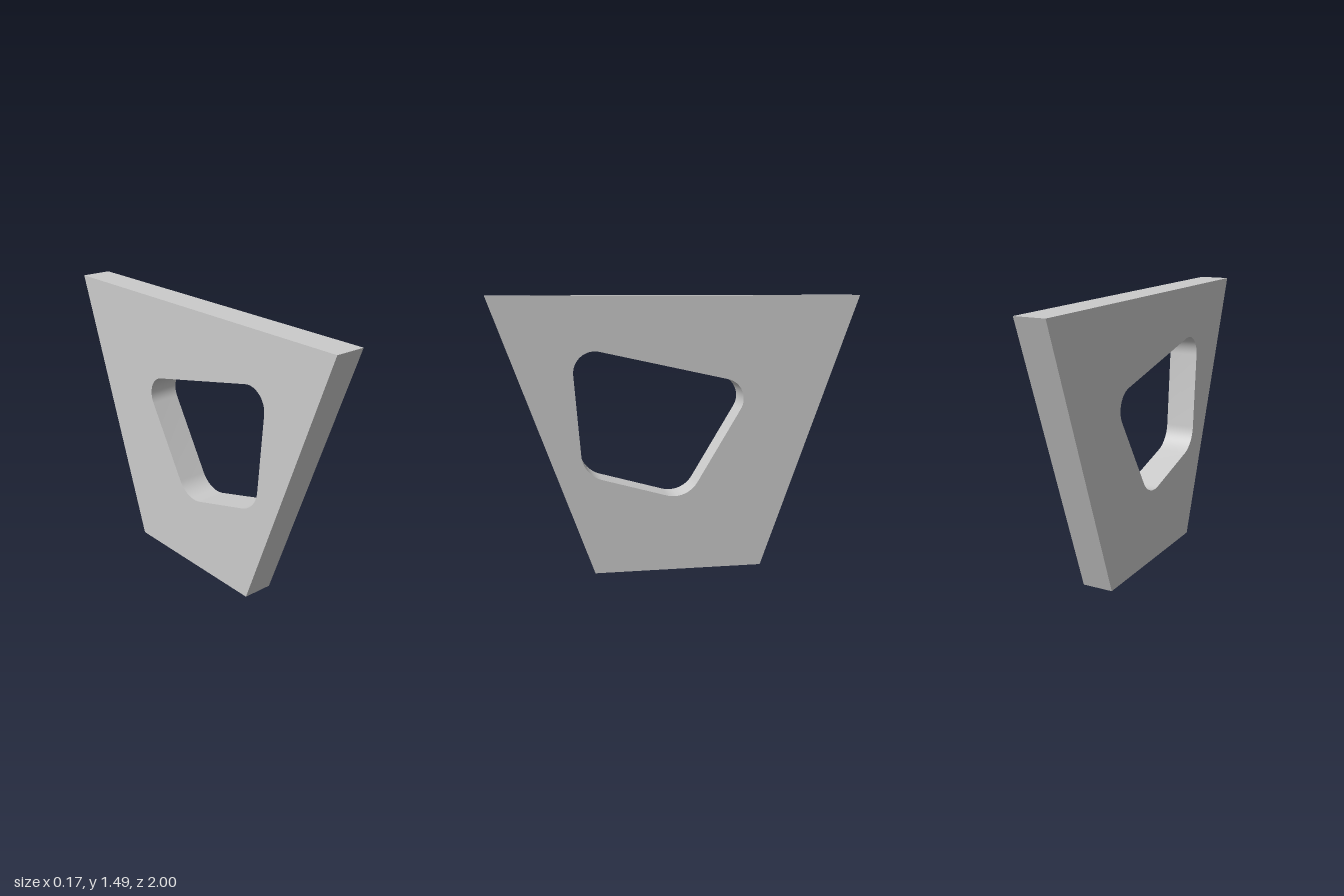
import * as THREE from 'three';
import { toCreasedNormals } from 'three/addons/utils/BufferGeometryUtils.js';

const THICKNESS = 0.17;

// Closed path through the corners, each rounded by an arc that starts
// the given distance before the corner and ends the same distance after it.
function roundedPath(corners) {
  const path = new THREE.Path();
  const n = corners.length;
  const points = corners.map(([x, y]) => new THREE.Vector2(x, y));
  for (let i = 0; i < n; i++) {
    const p = points[i];
    const t = corners[i][2];
    const toPrev = points[(i + n - 1) % n].clone().sub(p).normalize();
    const toNext = points[(i + 1) % n].clone().sub(p).normalize();
    const angle = Math.acos(toPrev.dot(toNext));
    const radius = t * Math.tan(angle / 2);
    const handle = (4 / 3) * Math.tan((Math.PI - angle) / 4) * radius;
    const at = (dir, d) => p.clone().addScaledVector(dir, d);
    const start = at(toPrev, t), c1 = at(toPrev, t - handle);
    const c2 = at(toNext, t - handle), end = at(toNext, t);
    if (i === 0) path.moveTo(start.x, start.y);
    else path.lineTo(start.x, start.y);
    path.bezierCurveTo(c1.x, c1.y, c2.x, c2.y, end.x, end.y);
  }
  path.closePath();
  return path;
}

export function createModel() {
  const group = new THREE.Group();
  group.name = 'taperedPanel';

  // Trapezoid outline, drawn with -z to the right
  const outline = new THREE.Shape([
    new THREE.Vector2(-0.46, 0),
    new THREE.Vector2(0.46, 0),
    new THREE.Vector2(1, 1.49),
    new THREE.Vector2(-1, 1.49),
  ]);

  // Skewed four-sided window with rounded corners: x, y, rounding length
  outline.holes.push(roundedPath([
    [-0.572, 1.234, 0.155],
    [0.419, 1.011, 0.153],
    [0.043, 0.386, 0.115],
    [-0.517, 0.545, 0.107],
  ]));

  // Extrude to the panel thickness and turn it to face sideways
  let geometry = new THREE.ExtrudeGeometry(outline, {
    depth: THICKNESS,
    bevelEnabled: false,
    curveSegments: 16,
  });
  geometry.translate(0, 0, -THICKNESS / 2);
  geometry.rotateY(Math.PI / 2);
  geometry = toCreasedNormals(geometry, Math.PI / 6);

  const panel = new THREE.Mesh(
    geometry,
    new THREE.MeshStandardMaterial({ color: 0xcccccc })
  );
  panel.name = 'panelWithWindow';
  group.add(panel);
  return group;
}
